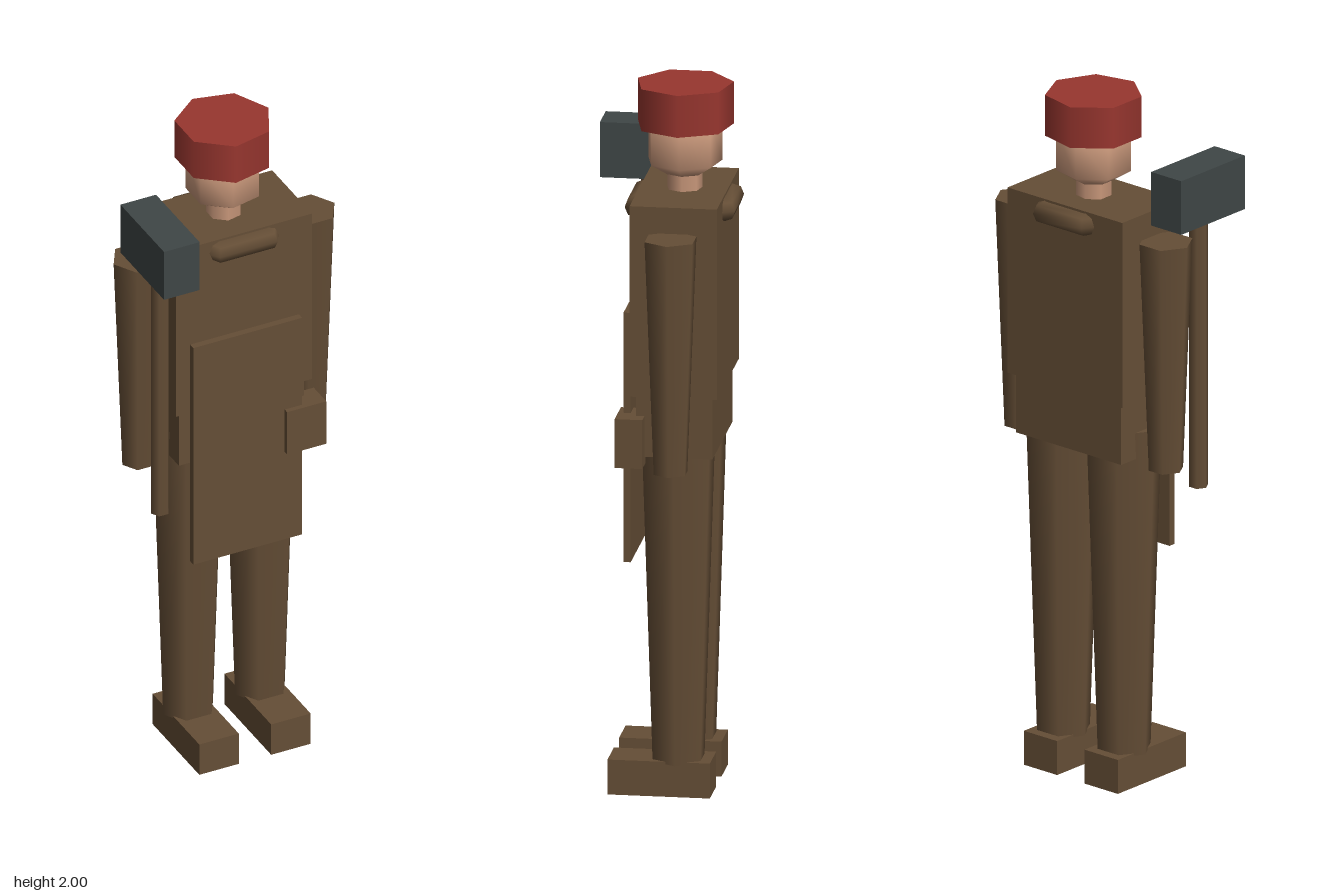
import * as THREE from 'three';

const mat = (name, color) => {
  const m = new THREE.MeshStandardMaterial({ color });
  m.name = name;
  return m;
};

export function createModel() {
  const brown = mat('brown cloth and leather', 0x654e36);
  const red = mat('red cap', 0x98362f);
  const skin = mat('skin', 0xc8977a);
  const iron = mat('dark iron', 0x3f4646);
  const group = new THREE.Group();
  const Z = -0.058; // body axis

  const add = (name, geo, material, x, y, z) => {
    const mesh = new THREE.Mesh(geo, material);
    mesh.name = name;
    mesh.position.set(x, y, z);
    group.add(mesh);
    return mesh;
  };
  // box given by its limits on each axis
  const box = (name, material, [x0, x1], [y0, y1], [z0, z1]) =>
    add(name, new THREE.BoxGeometry(x1 - x0, y1 - y0, z1 - z0), material,
      (x0 + x1) / 2, (y0 + y1) / 2, (z0 + z1) / 2);
  // upright tapered prism with one corner towards +x
  const limb = (name, material, rTop, rBottom, y0, y1, sides, x, z = Z) =>
    add(name, new THREE.CylinderGeometry(rTop, rBottom, y1 - y0, sides).rotateY(Math.PI / 2),
      material, x, (y0 + y1) / 2, z);

  // trunk
  box('torso', brown, [-0.21, 0.21], [1.154, 1.70], [-0.179, 0.064]);
  box('hips', brown, [-0.193, 0.193], [0.978, 1.16], [-0.164, 0.048]);
  box('apron', brown, [-0.168, 0.168], [0.667, 1.382], [0.067, 0.087]);
  box('beltPouch', brown, [0.114, 0.235], [0.955, 1.095], [0.025, 0.102]);
  add('collar', new THREE.TorusGeometry(0.144, 0.033, 8, 6).rotateX(Math.PI / 2), brown, 0, 1.662, Z);

  // limbs
  for (const [side, s] of [['left', 1], ['right', -1]]) {
    limb(side + 'Arm', brown, 0.077, 0.05, 0.955, 1.625, 6, s * 0.264);
    limb(side + 'Leg', brown, 0.11, 0.077, 0.093, 1.055, 6, s * 0.111);
    const x = s * 0.111;
    box(side + 'Boot', brown, [x - 0.061, x + 0.061], [0, 0.1], [-0.154, 0.131]);
  }

  // head with a rounded chin
  limb('neck', skin, 0.05, 0.05, 1.69, 1.76, 7, 0);
  const profile = [[0, 1.737], [0.055, 1.745], [0.106, 1.777], [0.106, 1.9], [0, 1.95]]
    .map(([r, y]) => new THREE.Vector2(r, y));
  add('head', new THREE.LatheGeometry(profile, 7).rotateY(Math.PI / 2), skin, 0, 0, Z);
  limb('cap', red, 0.137, 0.137, 1.88, 2.0, 7, 0);

  // hammer carried at the right side
  limb('hammerHandle', brown, 0.0275, 0.0275, 0.867, 1.67, 6, -0.266, 0.076);
  box('hammerHead', iron, [-0.32, -0.21], [1.658, 1.816], [-0.058, 0.208]);

  return group;
}
